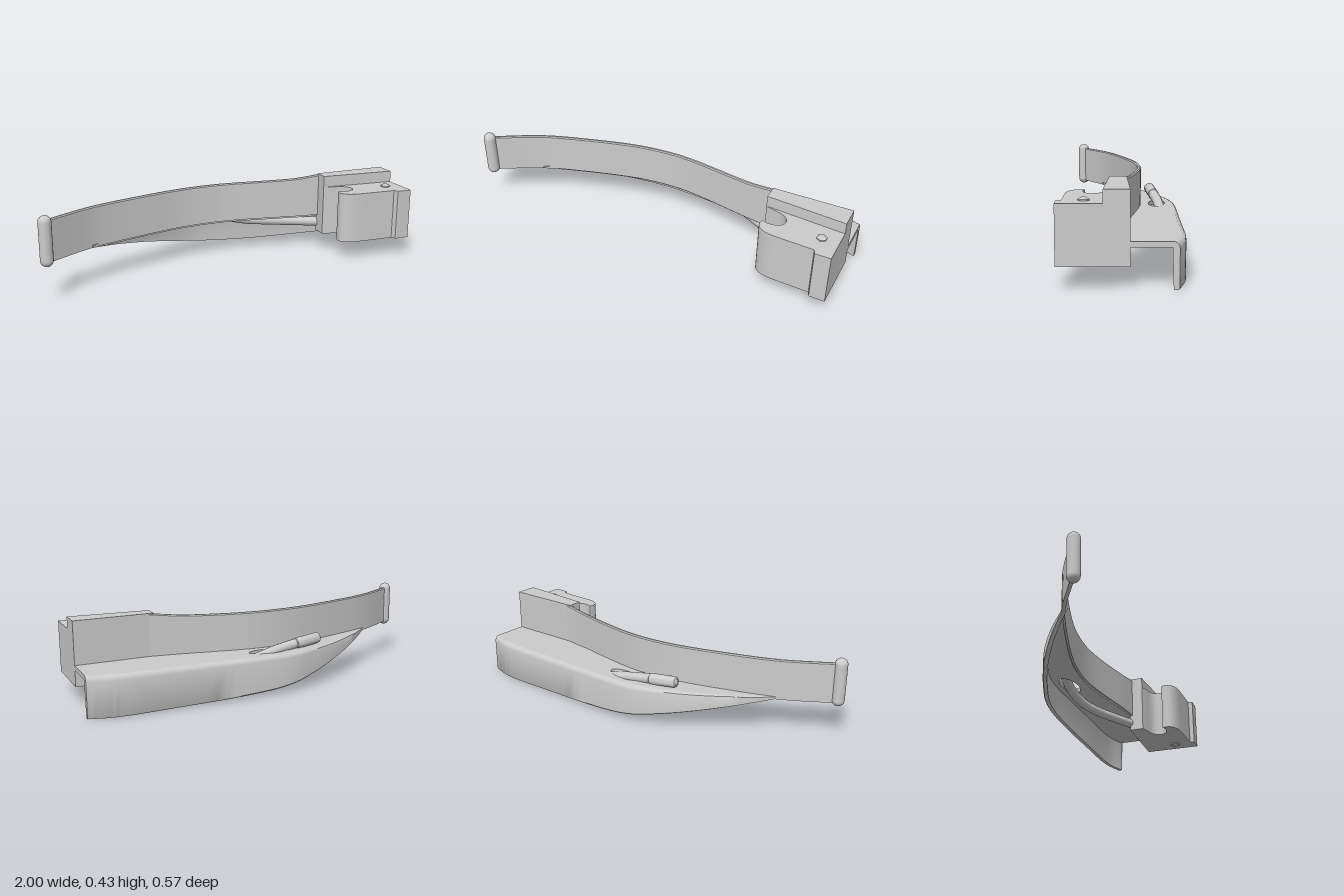
import * as THREE from 'three';
import { toCreasedNormals } from 'three/addons/utils/BufferGeometryUtils.js';

const material = new THREE.MeshStandardMaterial({ color: 0xcccccc });

function add(group, name, geometry) {
  const mesh = new THREE.Mesh(geometry, material);
  mesh.name = name;
  group.add(mesh);
  return mesh;
}

const curveOf = (points) =>
  new THREE.CatmullRomCurve3(points.map((p) => new THREE.Vector3(...p)), false, 'centripetal');

// Joins cross-sections taken along a curve; ring(p) returns [z, y] pairs
function loft(curve, steps, ring) {
  const pos = [], idx = [];
  let n = 0;
  for (let i = 0; i <= steps; i++) {
    const p = curve.getPoint(i / steps);
    const r = ring(p);
    n = r.length;
    r.forEach(([z, y]) => pos.push(p.x, y, z));
  }
  for (let i = 0; i < steps; i++) {
    for (let j = 0; j < n; j++) {
      const a = i * n + j, b = i * n + (j + 1) % n;
      idx.push(a, a + n, b + n, a, b + n, b);
    }
  }
  const e = steps * n;
  for (let j = 1; j < n - 1; j++) idx.push(0, j, j + 1, e, e + j + 1, e + j);
  const g = new THREE.BufferGeometry();
  g.setAttribute('position', new THREE.Float32BufferAttribute(pos, 3));
  g.setIndex(idx);
  return toCreasedNormals(g, 0.6);
}

// Extrudes a plan outline drawn with (x, -z) from y0 up to y1
function slab(shape, y0, y1) {
  const g = new THREE.ExtrudeGeometry(shape, { depth: y1 - y0, bevelEnabled: false, curveSegments: 20 });
  g.rotateX(-Math.PI / 2).translate(0, y0, 0);
  return toCreasedNormals(g, 0.6);
}

const outline = (pts) => new THREE.Shape(pts.map(([x, z]) => new THREE.Vector2(x, -z)));

export function createModel() {
  const model = new THREE.Group();
  model.name = 'laryngoscopeBlade';

  // Curved upright blade: x, top height, z
  const bladeCurve = curveOf([
    [-0.97, 0.405, 0.235], [-0.72, 0.405, 0.09], [-0.5, 0.405, 0.01], [-0.2, 0.405, -0.072],
    [0, 0.405, -0.092], [0.12, 0.405, -0.086], [0.28, 0.406, -0.062], [0.45, 0.411, -0.032],
    [0.54, 0.42, -0.02], [0.62, 0.43, -0.01],
  ]);
  add(model, 'blade', loft(bladeCurve, 60, ({ y, z }) => [
    [z + 0.01, 0.195], [z + 0.01, y - 0.006], [z + 0.005, y],
    [z - 0.005, y], [z - 0.01, y - 0.006], [z - 0.01, 0.195],
  ]));

  // Rounded bead at the far end
  add(model, 'tipBead', new THREE.CapsuleGeometry(0.032, 0.188, 10, 24)).position.set(-0.968, 0.303, 0.238);

  // Outer flange that hangs down and tapers: x, bottom height, z
  const flangeCurve = curveOf([
    [-0.72, 0.198, 0.082], [-0.6, 0.168, -0.015], [-0.5, 0.143, -0.085], [-0.4, 0.119, -0.145],
    [-0.3, 0.095, -0.195], [-0.2, 0.072, -0.235], [-0.1, 0.051, -0.268], [0.02, 0.034, -0.284],
    [0.25, 0.018, -0.285], [0.55, 0.01, -0.282], [0.8, 0.005, -0.28], [0.9, 0.003, -0.268], [1, 0.002, -0.238],
  ]);
  add(model, 'flange', loft(flangeCurve, 70, ({ y, z }) => {
    const h = 0.21 - y;
    return [
      [z + 0.025, y], [z + 0.025, y + h * 0.88], [z + 0.032, 0.21], [z + 0.022, 0.21],
      [z + 0.01, 0.21 - h * 0.03], [z + 0.003, 0.21 - h * 0.07], [z, 0.21 - h * 0.14],
      [z, y + h * 0.03], [z + 0.004, y],
    ];
  }));

  // Web joining blade and flange, with an oval slot for the light tube
  const inner = bladeCurve.getPoints(60).filter((p) => p.x > -0.66).map((p) => [p.x, p.z]);
  const outer = flangeCurve.getPoints(70).filter((p) => p.x > -0.66).map((p) => [p.x, p.z + 0.024]);
  const webShape = outline([...inner, [1, -0.025], ...outer.reverse()]);
  const slot = new THREE.Path();
  slot.absellipse(0.04, 0.185, 0.1, 0.043, 0, Math.PI * 2, true, -0.08);
  webShape.holes.push(slot);
  add(model, 'web', slab(webShape, 0.185, 0.21));

  // Hook-shaped mounting block
  const hook = new THREE.Shape();
  hook.moveTo(0.59, 0.02);
  hook.lineTo(0.59, -0.058);
  hook.bezierCurveTo(0.63, -0.072, 0.66, -0.075, 0.685, -0.085);
  hook.bezierCurveTo(0.73, -0.105, 0.73, -0.155, 0.7, -0.17);
  hook.bezierCurveTo(0.67, -0.185, 0.64, -0.18, 0.617, -0.172);
  hook.bezierCurveTo(0.595, -0.22, 0.635, -0.255, 0.725, -0.257);
  hook.lineTo(0.91, -0.262);
  hook.lineTo(0.92, -0.286);
  hook.lineTo(1, -0.286);
  hook.lineTo(1, 0.03);
  add(model, 'mountingBlock', slab(hook, 0.102, 0.37));

  // Raised rib along the back of the block
  add(model, 'blockRib', slab(outline([[0.59, -0.02], [0.59, 0.058], [1, 0.084], [1, -0.03]]), 0.36, 0.43));

  // Domed hexagonal pin heads above and below the block
  for (const [name, y, turn] of [['pinTop', 0.37, 0], ['pinBottom', 0.102, Math.PI]]) {
    const profile = [[0.026, -0.01], [0.026, 0.006], [0.012, 0.014], [0, 0.016]].map((p) => new THREE.Vector2(...p));
    const pin = add(model, name, toCreasedNormals(new THREE.LatheGeometry(profile, 6), 0.3));
    pin.position.set(0.914, y, 0.167);
    pin.rotation.x = turn;
  }

  // Light tube running under the web and out through the slot
  const tubeCurve = curveOf([
    [0.63, 0.15, -0.01], [0.5, 0.15, -0.075], [0.35, 0.151, -0.145], [0.22, 0.16, -0.185],
    [0.1, 0.188, -0.2], [0, 0.212, -0.193], [-0.13, 0.232, -0.176],
  ]);
  add(model, 'lightTube', new THREE.TubeGeometry(tubeCurve, 50, 0.026, 16));

  // Bulb holder with a rounded end, aligned with the tube
  const start = new THREE.Vector3(-0.125, 0.231, -0.177);
  const axis = new THREE.Vector3(-0.278, 0.246, -0.157).sub(start);
  const len = axis.length();
  const bulbProfile = [[0, 0], [0.026, 0], [0.029, 0.004], [0.029, len - 0.014], [0.025, len - 0.004],
    [0.018, len], [0.014, len - 0.003], [0.008, len + 0.002], [0, len + 0.004]];
  const bulb = add(model, 'bulbHolder', toCreasedNormals(
    new THREE.LatheGeometry(bulbProfile.map((p) => new THREE.Vector2(...p)), 20), 0.6));
  bulb.position.copy(start);
  bulb.quaternion.setFromUnitVectors(new THREE.Vector3(0, 1, 0), axis.normalize());

  return model;
}
